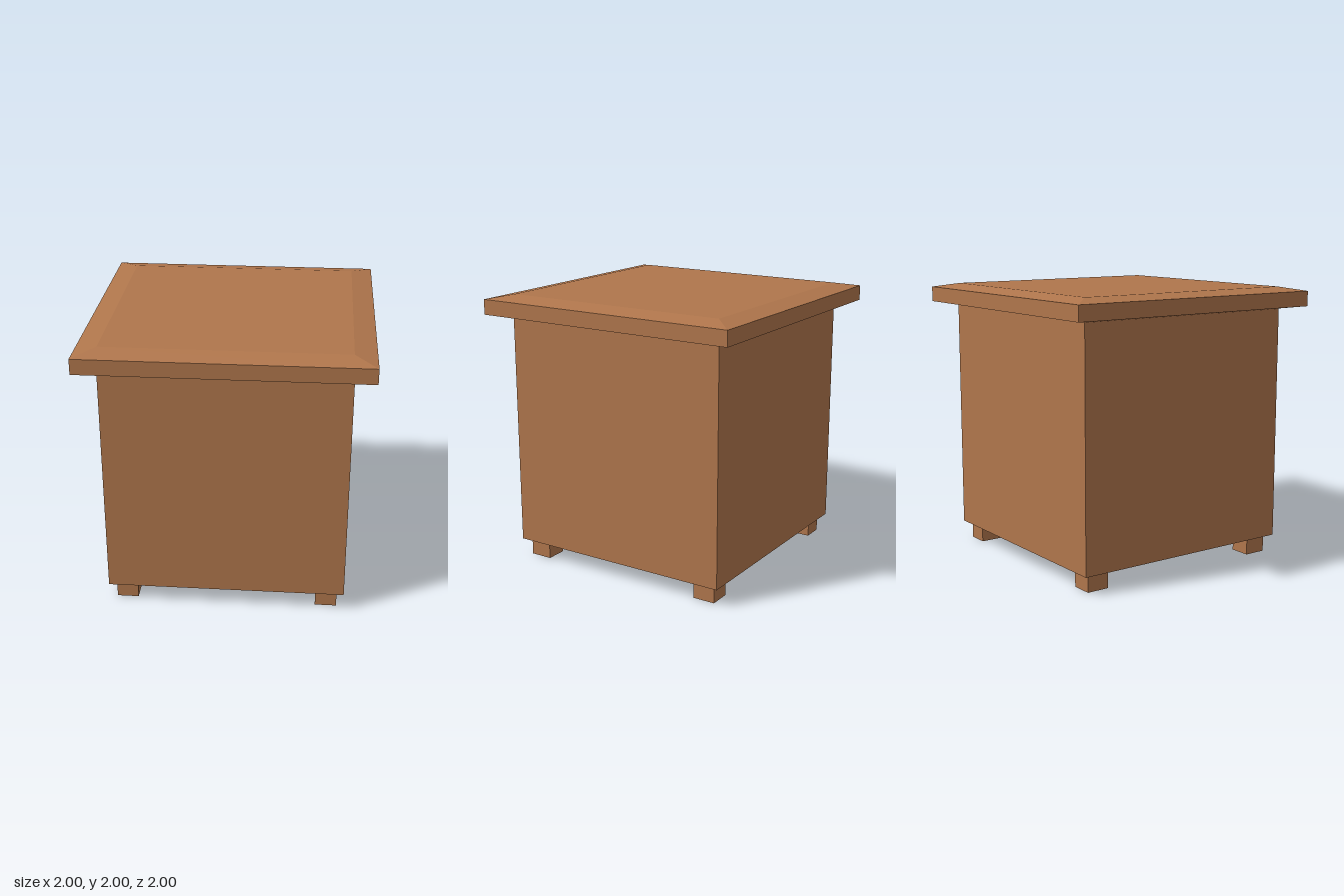
import * as THREE from 'three';

export function createModel() {
  const group = new THREE.Group();
  const wood = new THREE.MeshStandardMaterial({ color: 0xb0764c });
  wood.name = 'warm brown wood';

  const add = (name, geometry, x, y, z) => {
    const mesh = new THREE.Mesh(geometry, wood);
    mesh.name = name;
    mesh.position.set(x, y, z);
    group.add(mesh);
  };

  // Box body
  add('body', new THREE.BoxGeometry(1.71, 1.71, 1.71), 0, 0.985, 0);

  // Square lid with bevelled top and underside: [half width, height]
  const profile = [[0, 1.84], [0.85, 1.84], [1, 1.86], [1, 1.97], [0.845, 2], [0, 2]]
    .map(([half, y]) => new THREE.Vector2(half * Math.SQRT2, y));
  const lid = new THREE.LatheGeometry(profile, 4, Math.PI / 4).toNonIndexed();
  lid.computeVertexNormals();
  add('lid', lid, 0, 0, 0);

  // Four block feet set in from the corners
  const foot = new THREE.BoxGeometry(0.155, 0.13, 0.165);
  for (const sx of [-1, 1]) {
    for (const sz of [-1, 1]) {
      add(`${sz > 0 ? 'front' : 'back'}${sx > 0 ? 'Left' : 'Right'}Foot`, foot, sx * 0.727, 0.065, sz * 0.722);
    }
  }

  return group;
}
